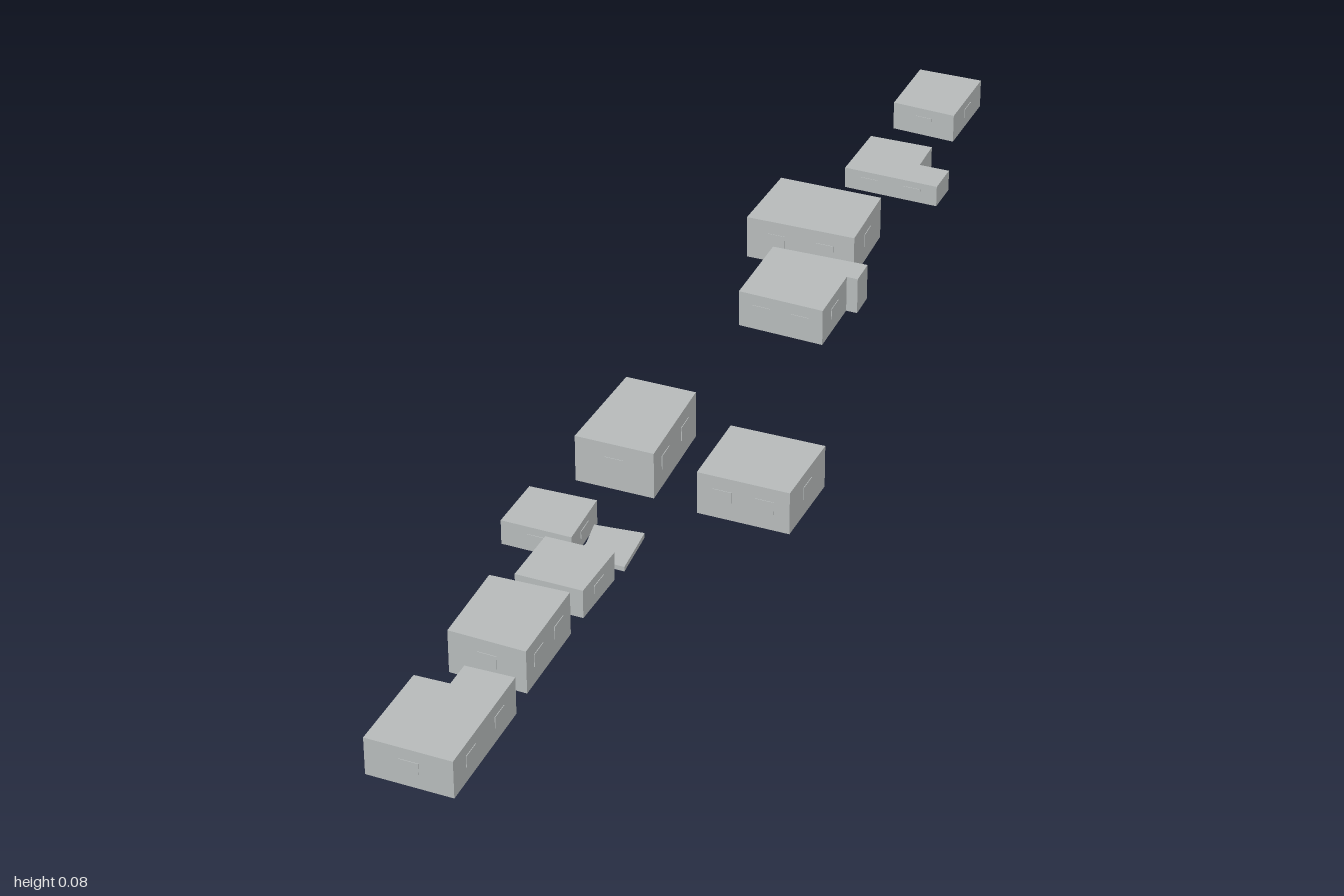
import * as THREE from 'three';

// Footprints run back-left, back-right, front-right, front-left as [x, z] corners
const BUILDINGS = [
  { name: 'northHouse', h: 0.05, p: [[0.19, -1], [0.297, -0.98], [0.267, -0.853], [0.162, -0.88]] },
  { name: 'lowHouseWithAnnex', h: 0.037, p: [[0.137, -0.785], [0.242, -0.766], [0.23, -0.705], [0.28, -0.695], [0.267, -0.64], [0.11, -0.675]] },
  { name: 'wideHouse', h: 0.074, p: [[0.021, -0.563], [0.19, -0.529], [0.166, -0.398], [-0.013, -0.432]] },
  { name: 'houseWithSidePorch', h: 0.063, p: [[0.04, -0.368], [0.196, -0.34], [0.187, -0.295], [0.169, -0.299], [0.147, -0.194], [0.009, -0.228]] },
  { name: 'tallHouse', h: 0.08, p: [[-0.113, 0.067], [-0.002, 0.09], [-0.034, 0.262], [-0.158, 0.236]] },
  { name: 'eastHouse', h: 0.073, p: [[0.063, 0.158], [0.21, 0.187], [0.178, 0.317], [0.035, 0.287]] },
  { name: 'cottage', h: 0.042, p: [[-0.209, 0.322], [-0.104, 0.34], [-0.122, 0.438], [-0.232, 0.414]] },
  { name: 'terrace', h: 0.008, p: [[-0.106, 0.354], [-0.029, 0.362], [-0.042, 0.45], [-0.117, 0.433], [-0.108, 0.4]] },
  { name: 'smallHouse', h: 0.048, p: [[-0.158, 0.45], [-0.052, 0.472], [-0.078, 0.571], [-0.182, 0.548]] },
  { name: 'squareHouse', h: 0.073, p: [[-0.209, 0.59], [-0.088, 0.611], [-0.12, 0.757], [-0.238, 0.728]] },
  { name: 'southHouse', h: 0.063, p: [[-0.2, 0.79], [-0.125, 0.804], [-0.168, 1], [-0.299, 0.97], [-0.264, 0.823], [-0.21, 0.833]] },
];

export function createModel() {
  const model = new THREE.Group();
  const plaster = new THREE.MeshStandardMaterial({ color: 0xb6baba });
  plaster.name = 'plaster grey';

  for (const { name, h, p } of BUILDINGS) {
    const building = new THREE.Group();
    building.name = name;

    // Flat-roofed block
    const outline = new THREE.Shape(p.map(([x, z]) => new THREE.Vector2(x, -z)));
    const geometry = new THREE.ExtrudeGeometry(outline, { depth: h, bevelEnabled: false });
    const walls = new THREE.Mesh(geometry.rotateX(-Math.PI / 2), plaster);
    walls.name = 'wallsAndRoof';
    building.add(walls);

    // One or two thin window plates on each wall
    if (h > 0.02) {
      p.forEach(([x, z], i) => {
        const [x2, z2] = p[(i + 1) % p.length];
        const dx = x2 - x, dz = z2 - z;
        const length = Math.hypot(dx, dz);
        if (length < 0.065) return;
        const spots = length > 0.14 ? [0.27, 0.73] : [0.5];
        for (const t of spots) {
          const pane = new THREE.Mesh(new THREE.BoxGeometry(0.03, h * 0.3, 0.002), plaster);
          pane.name = 'window';
          pane.position.set(x + dx * t, h * 0.54, z + dz * t);
          pane.rotation.y = Math.atan2(dz, -dx);
          building.add(pane);
        }
      });
    }
    model.add(building);
  }
  return model;
}
